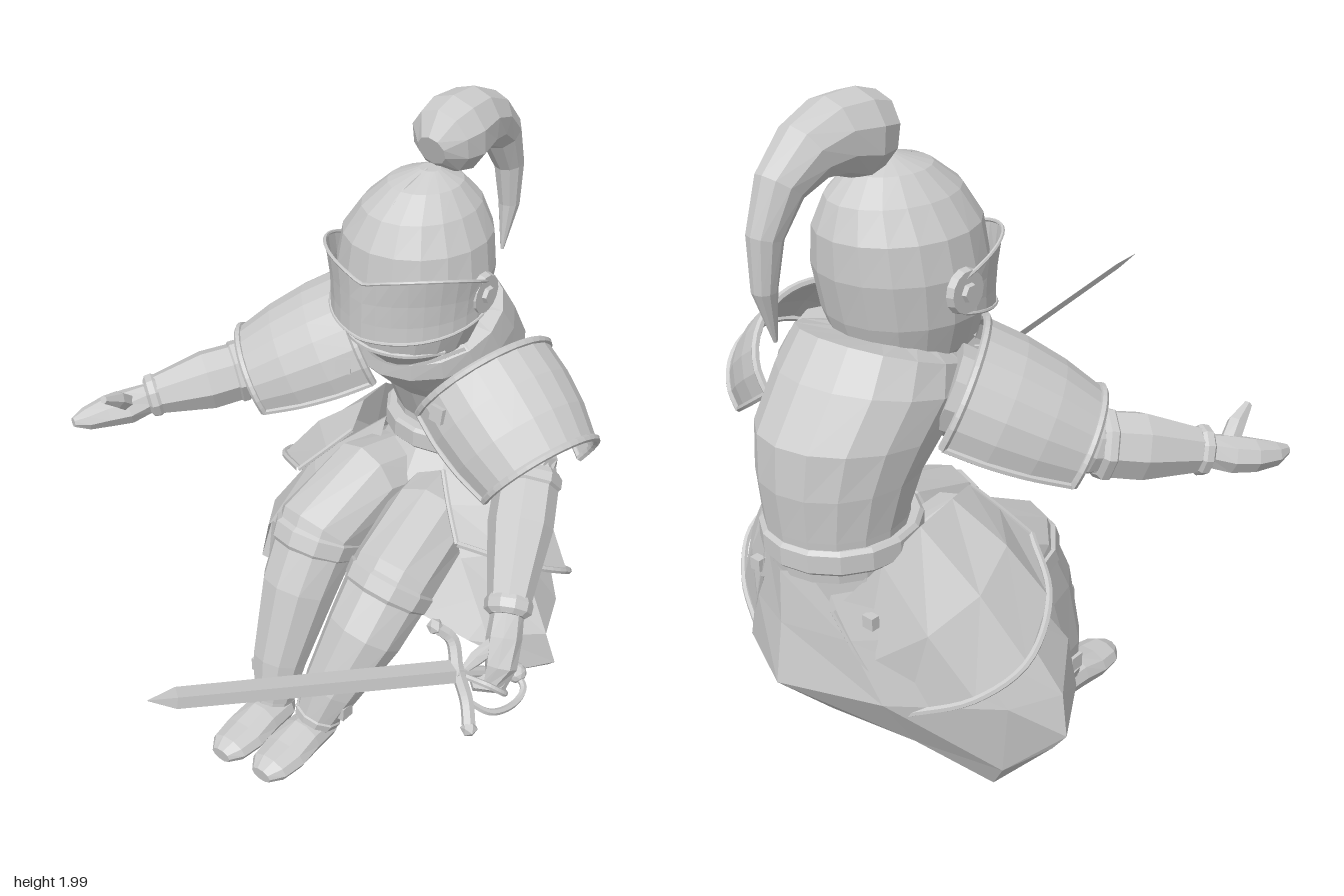
import * as THREE from 'three';

const solid = new THREE.MeshStandardMaterial({ color: 0xcccccc, flatShading: true });
const thin = new THREE.MeshStandardMaterial({ color: 0xcccccc, flatShading: true, side: THREE.DoubleSide });
const V = (p) => new THREE.Vector3(...p);

export function createModel() {
  const model = new THREE.Group();
  const add = (name, geo, mat = solid) => {
    const m = new THREE.Mesh(geo, mat);
    m.name = name;
    model.add(m);
    return m;
  };

  // Surface through rows of points; closed rows become a capped solid
  function skin(rows, closed) {
    const n = rows[0].length, pos = [], idx = [];
    rows.forEach((r) => r.forEach((p) => pos.push(p.x, p.y, p.z)));
    for (let i = 0; i < rows.length - 1; i++)
      for (let j = 0; j < (closed ? n : n - 1); j++) {
        const k = (j + 1) % n, a = i * n + j, b = i * n + k;
        idx.push(a, b, b + n, a, b + n, a + n);
      }
    if (closed) {
      const e = (rows.length - 1) * n;
      for (let j = 1; j < n - 1; j++) idx.push(0, j + 1, j, e, e + j, e + j + 1);
    }
    const g = new THREE.BufferGeometry();
    g.setAttribute('position', new THREE.Float32BufferAttribute(pos, 3));
    g.setIndex(idx);
    g.computeVertexNormals();
    return g;
  }

  // Side and up directions across a path direction
  function frame(t, ref) {
    const s = ref.clone().cross(t).normalize();
    return [s, t.clone().cross(s)];
  }

  // Tapered limb: each station is [x, y, z, radius, radius across]
  function limb(name, st, sides = 10, ref = [0, 1, 0]) {
    const pts = st.map((s) => V(s.slice(0, 3)));
    const rows = pts.map((p, i) => {
      const t = pts[Math.min(i + 1, pts.length - 1)].clone().sub(pts[Math.max(i - 1, 0)]).normalize();
      const [s, u] = frame(t, V(ref)), r1 = st[i][3], r2 = st[i][4] ?? r1;
      return Array.from({ length: sides }, (_, j) => {
        const a = (j / sides) * Math.PI * 2;
        return p.clone().addScaledVector(s, r1 * Math.cos(a)).addScaledVector(u, r2 * Math.sin(a));
      });
    });
    return add(name, skin(rows, true));
  }

  // Upright body: each ring is [x, y, z, half width, half depth, tilt]
  function body(name, rings, sides = 16) {
    return add(name, skin(rings.map(([x, y, z, w, d, k = 0]) =>
      Array.from({ length: sides }, (_, j) => {
        const a = (j / sides) * Math.PI * 2, dz = d * Math.cos(a);
        return new THREE.Vector3(x + w * Math.sin(a), y - k * dz, z + dz);
      })), true));
  }

  const rod = (name, pts, r, n = 24) =>
    add(name, new THREE.TubeGeometry(new THREE.CatmullRomCurve3(pts), n, r, 6));

  // Torso, belt, hips and neck
  body('cuirass', [
    [.03, .84, -.73, .18, .18], [.03, .96, -.735, .19, .185], [.03, 1.08, -.71, .21, .22],
    [.03, 1.18, -.66, .23, .26, .1], [.03, 1.28, -.58, .24, .25, .24], [.04, 1.35, -.54, .22, .21, .38],
    [.05, 1.37, -.52, .11, .12, .2],
  ]);
  body('belt', [[.03, .87, -.72, .2, .2], [.03, .88, -.72, .21, .21], [.03, .93, -.72, .21, .21], [.03, .94, -.72, .2, .2]]);
  body('hips', [[.04, .55, -.62, .13, .14], [.04, .66, -.64, .22, .22], [.04, .78, -.68, .22, .22], [.03, .88, -.72, .18, .18]], 12);
  body('neck', [[.05, 1.25, -.52, .12, .12], [.05, 1.42, -.47, .12, .12]], 10);
  rod('neckline', [-1, -.5, 0, .5, 1].map((t) => V([.04 + .2 * t, 1.27 + .07 * t * t, -.34 - .1 * t * t])), .012);

  // Helmet with centre crease
  body('helmet', [
    [.05, 1.27, -.44, .1, .11], [.05, 1.34, -.44, .18, .185], [.05, 1.43, -.445, .212, .21],
    [.05, 1.55, -.45, .222, .228], [.05, 1.65, -.455, .205, .222], [.055, 1.73, -.46, .157, .185],
    [.06, 1.79, -.465, .1, .115], [.065, 1.82, -.475, .03, .03],
  ], 18);
  rod('helmetCrease', [[.05, 1.6, -.235], [.055, 1.72, -.283], [.06, 1.79, -.36], [.065, 1.82, -.46]].map(V), .004);

  // Visor sweeps from ear to ear; its top edge dips at the centre and points out at the sides
  const visorRow = (v) => Array.from({ length: 19 }, (_, i) => {
    const a = (i / 9 - 1) * 1.65, f = Math.abs(a) / 1.65;
    const half = THREE.MathUtils.lerp(.085, .045, f * f);
    const lift = Math.max(v, 0) * Math.sin(f * Math.PI);
    const r = .231 + .014 * (1 - f) + .018 * lift;
    return new THREE.Vector3(.05 + r * Math.sin(a), 1.485 + .02 * f + v * half + .04 * lift, -.45 + r * Math.cos(a));
  });
  add('visor', skin([-1, -.4, .3, 1].map(visorRow), false), thin);
  for (const v of [-1, 1]) rod('visorEdge', visorRow(v), .005, 36);
  rod('chinEdge', [-1, -.5, 0, .5, 1].map((t) => V([.05 + .18 * Math.sin(t * 1.2), 1.345, -.44 + .185 * Math.cos(t * 1.2)])), .008);
  for (const s of [-1, 1]) {
    const disc = add('visorHinge', new THREE.CylinderGeometry(.055, .06, .02, 14));
    disc.rotation.z = -s * Math.PI / 2;
    disc.position.set(.05 + s * .226, 1.515, -.46);
    const bolt = add('hingeBolt', new THREE.CylinderGeometry(.022, .027, .016, 6));
    bolt.rotation.z = -s * Math.PI / 2;
    bolt.position.set(.05 + s * .24, 1.515, -.46);
  }

  // Plume curling back and down
  limb('plume', [
    [.07, 1.87, -.47, .045], [.07, 1.885, -.51, .095], [.07, 1.89, -.57, .11], [.07, 1.9, -.65, .097],
    [.07, 1.88, -.73, .08], [.07, 1.82, -.81, .062], [.075, 1.71, -.86, .045], [.08, 1.58, -.87, .032],
    [.085, 1.44, -.845, .005],
  ], 10, [1, 0, 0]);

  // Arms: bent limb, forearm guard and cuff
  const arms = {
    left: [[.27, 1.25, -.5], [.5, 1.06, -.41], [.65, .79, -.11]],
    right: [[-.14, 1.26, -.5], [-.42, 1.1, -.26], [-.61, 1.04, -.01]],
  };
  for (const [side, [s, e, w]] of Object.entries(arms)) {
    const at = (t, r) => [...V(e).lerp(V(w), t).toArray(), r];
    limb(side + 'UpperArm', [[...s, .12], [...V(s).lerp(V(e), .6).toArray(), .105], [...e, .085], at(.15, .07)]);
    limb(side + 'Forearm', [at(-.02, .075), at(.1, .09), at(.4, .092), at(.92, .06), at(1, .05)], 8);
    limb(side + 'ElbowBand', [at(.02, .085), at(.06, .097), at(.12, .097), at(.15, .085)], 8);
    limb(side + 'Cuff', [at(.88, .062), at(.91, .068), at(.97, .066), at(1, .05)], 10);
  }
  limb('rightHand', [[-.6, 1.04, -.02, .045], [-.64, 1.02, .04, .06, .05], [-.68, 1.01, .09, .055, .045], [-.71, 1, .15, .04, .033], [-.725, 1, .19, .015]], 8);
  limb('rightThumb', [[-.63, 1.04, .05, .028], [-.62, 1.08, .1, .026], [-.615, 1.11, .16, .012]], 6);
  limb('leftHand', [[.64, .81, -.13, .045], [.665, .74, -.08, .05, .06], [.69, .68, -.035, .045, .058], [.69, .635, -.01, .025, .045]], 8);
  limb('leftFingers', [[.7, .68, -.06, .028], [.69, .63, -.02, .034], [.64, .62, .0, .028], [.62, .65, 0, .014]], 7);
  limb('leftThumb', [[.66, .74, -.05, .024], [.63, .7, .0, .022], [.62, .68, .05, .01]], 6);

  // Shoulder guards: arched shells with raised rims and a square stud
  function shoulderGuard(name, a, b, r0, r1, studAngle) {
    const A = V(a), B = V(b), [s, u] = frame(B.clone().sub(A).normalize(), V([0, 1, 0]));
    const at = (t, ang, out = 0) => {
      const r = THREE.MathUtils.lerp(r0, r1, t) + .015 * Math.sin(t * Math.PI) + out;
      return A.clone().lerp(B, t).addScaledVector(s, r * 1.08 * Math.cos(ang)).addScaledVector(u, r * Math.sin(ang));
    };
    const angs = Array.from({ length: 13 }, (_, i) => -.25 + (i / 12) * (Math.PI + .5));
    const ts = [0, .33, .66, 1];
    add(name, skin(ts.map((t) => angs.map((g) => at(t, g))), false), thin);
    for (const t of [0, 1]) rod(name + 'Rim', angs.map((g) => at(t, g)), .011);
    for (const g of [angs[0], angs[12]]) rod(name + 'Edge', ts.map((t) => at(t, g)), .009);
    const stud = add(name + 'Stud', new THREE.BoxGeometry(.045, .045, .02));
    stud.position.copy(at(.16, studAngle));
    stud.lookAt(at(.16, studAngle, 1));
  }
  shoulderGuard('leftShoulderGuard', [.28, 1.22, -.485], [.53, 1.05, -.42], .205, .175, 2.95);
  shoulderGuard('rightShoulderGuard', [-.14, 1.235, -.47], [-.38, 1.09, -.27], .205, .155, .2);

  // Legs with knee bands, ankle bands, buckles and boots
  const legs = {
    left: [[.12, .68, -.62, .14], [.17, .71, -.4, .135], [.2, .645, -.2, .135], [.185, .5, -.085, .12], [.14, .32, .01, .09], [.11, .19, .06, .063]],
    right: [[-.06, .7, -.62, .14], [-.08, .75, -.41, .135], [-.11, .66, -.23, .135], [-.115, .49, -.14, .12], [-.12, .25, -.05, .088], [-.115, .1, -.01, .063]],
  };
  for (const [side, st] of Object.entries(legs)) {
    limb(side + 'Leg', st, 10, [1, 0, 0]);
    const k = V(st[2]), dir = V(st[3]).sub(k), an = V(st[5]), up = V(st[4]).sub(an);
    const near = (p, d, t, r) => [...p.clone().addScaledVector(d, t).toArray(), r];
    limb(side + 'KneeBand', [near(k, dir, -.05, .122), near(k, dir, .05, .14), near(k, dir, .3, .136), near(k, dir, .4, .118)], 10, [1, 0, 0]);
    limb(side + 'AnkleBand', [near(an, up, .32, .066), near(an, up, .26, .076), near(an, up, .1, .07), near(an, up, .05, .056)], 10, [1, 0, 0]);
    const buckle = add(side + 'GreaveBuckle', new THREE.BoxGeometry(.025, .045, .045));
    buckle.position.copy(an).addScaledVector(up, .6).add(V([side === 'left' ? .077 : -.077, 0, 0]));
    const [dx, dy, dz] = side === 'left' ? [.11, .16, 0] : [-.11, .055, -.06];
    limb(side + 'Boot', [[dx, dy, dz, .045, .035], [dx, dy + .01, dz + .03, .065, .05], [dx, dy + .01, dz + .12, .07, .055],
      [dx, dy, dz + .2, .076, .045], [dx, dy - .005, dz + .27, .065, .04], [dx, dy - .01, dz + .31, .035, .025]]);
  }

  // Draped skirt: half pattern from front edge to back centre, mirrored
  const half = [
    [[.13, .84, -.48], [.19, .87, -.6], [.18, .87, -.75], [.1, .86, -.87], [0, .85, -.92]],
    [[.28, .68, -.36], [.4, .68, -.5], [.36, .68, -.68], [.17, .68, -.86], [0, .7, -.93]],
    [[.43, .5, -.3], [.54, .46, -.46], [.48, .47, -.61], [.25, .5, -.83], [0, .53, -.96]],
    [[.46, .36, -.3], [.57, .35, -.48], [.45, .25, -.6], [.25, .32, -.72], [0, .34, -.78]],
    [[.44, .35, -.31], [.54, .31, -.5], [.4, .17, -.58], [.2, .17, -.57], [0, .17, -.58]],
  ];
  add('skirt', skin(half.map((r) => [
    ...r.map(([x, y, z]) => V([.05 + x, y, z])),
    ...r.slice(0, -1).reverse().map(([x, y, z]) => V([.05 - x, y, z])),
  ]), false), thin);

  // Hip plates wrapping from the front of the thigh to the back, with rims
  const plate = [
    [[.17, .93, -.4], [.22, .96, -.52], [.24, .95, -.66], [.21, .88, -.77], [.13, .76, -.87]],
    [[.23, .86, -.35], [.36, .85, -.47], [.4, .79, -.62], [.33, .7, -.74], [.2, .61, -.84]],
    [[.3, .78, -.3], [.46, .71, -.42], [.52, .62, -.58], [.44, .53, -.69], [.28, .46, -.78]],
  ];
  for (const s of [-1, 1]) {
    const rows = plate.map((r) => r.map(([x, y, z]) => V([.05 + s * x, y, z])));
    const name = s > 0 ? 'leftHipPlate' : 'rightHipPlate';
    add(name, skin(rows, false), thin);
    rod(name + 'Hem', rows[2], .01);
    for (const c of [0, 4]) rod(name + 'Edge', rows.map((r) => r[c]), .008);
    const stud = add(name + 'Stud', new THREE.BoxGeometry(.035, .035, .025));
    stud.position.copy(rows[0][4]).lerp(rows[1][3], .4);
  }

  // Sword: diamond blade, curved crossguard, grip, pommel and hand loop
  const guard = V([.61, .69, .07]), tip = V([.34, 1.06, .955]), pommel = V([.68, .58, -.14]);
  const cross = [.55, -.78, .2];
  const blade = (t, a, b) => [...guard.clone().lerp(tip, t).toArray(), a, b];
  limb('blade', [blade(0, .01, .032), blade(.5, .009, .029), blade(.92, .008, .026), blade(1, .001, .001)], 4, cross);
  limb('grip', [[...guard.toArray(), .018], [...pommel.toArray(), .016]], 8);
  add('pommel', new THREE.IcosahedronGeometry(.03, 1)).position.copy(pommel);
  rod('crossguard', [[.53, .8, .06], [.57, .76, .035], [.61, .69, .06], [.66, .62, .08], [.7, .57, .12]].map(V), .019);
  for (const p of [[.53, .8, .06], [.7, .57, .12]])
    add('guardEnd', new THREE.IcosahedronGeometry(.024, 0)).position.set(...p);
  rod('handLoop', [[.66, .62, .08], [.71, .57, .03], [.73, .55, -.06], [.72, .56, -.12], [.68, .58, -.14]].map(V), .01);
  rod('sideRing', [[.63, .67, .05], [.7, .67, .04], [.73, .63, .0], [.7, .6, -.04], [.67, .6, -.1]].map(V), .009);

  return model;
}
